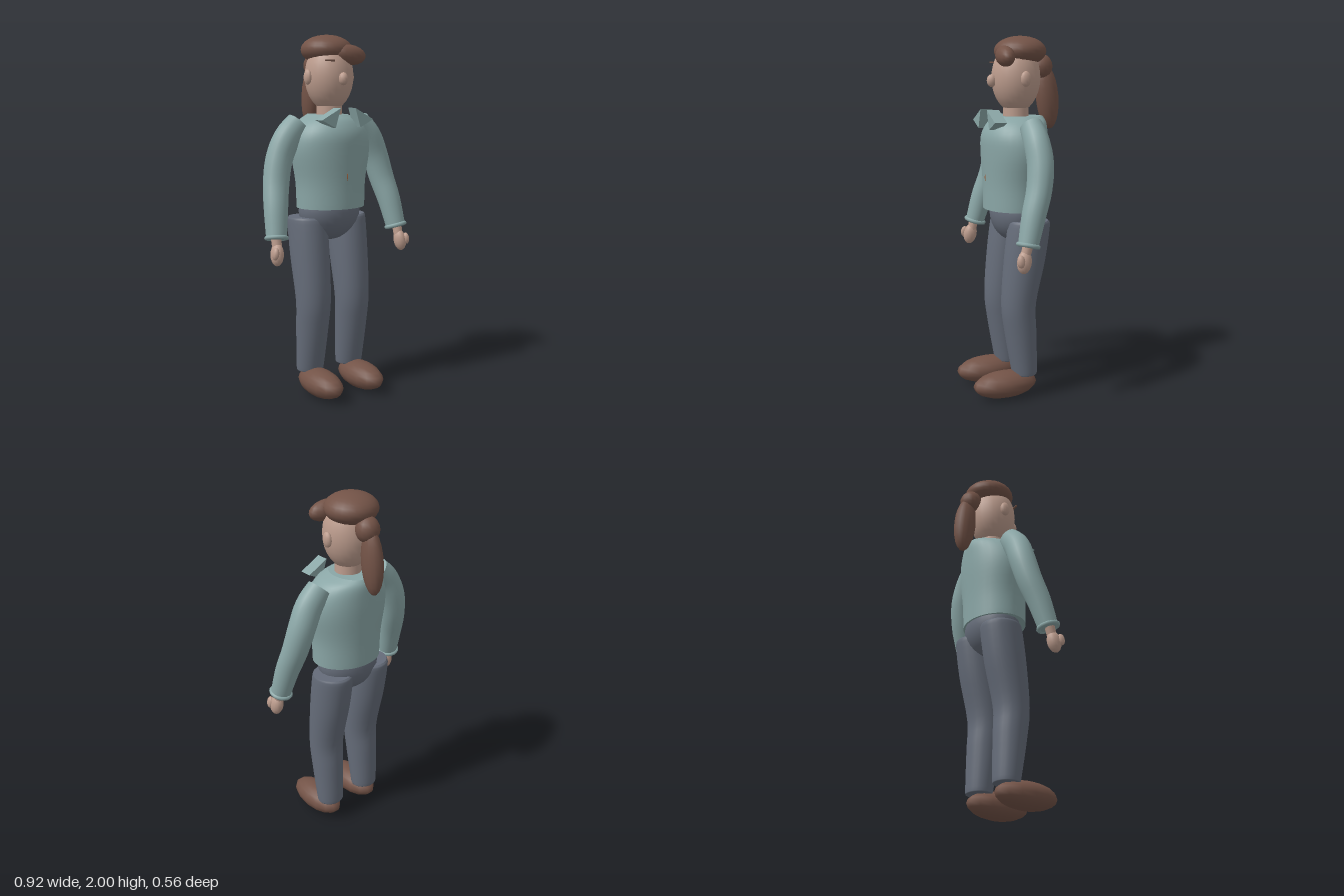
import * as THREE from 'three';

const mat = (name, color) => Object.assign(new THREE.MeshStandardMaterial({ color }), { name });

// Closed solid through rings [x, y, z, rx, rz] listed from bottom to top.
// With tilt, each ring is square to the path; otherwise rings stay level.
function loft(rings, tilt = false, steps = 4, sides = 24) {
  const path = new THREE.CatmullRomCurve3(rings.map(r => new THREE.Vector3(r[0], r[1], r[2])), false, 'catmullrom');
  const size = new THREE.CatmullRomCurve3(rings.map(r => new THREE.Vector3(r[3], r[4], 0)), false, 'catmullrom');
  const n = (rings.length - 1) * steps;
  const pos = [], index = [];
  const zAxis = new THREE.Vector3(0, 0, 1);
  const addRing = i => {
    const c = path.getPoint(i / n), r = size.getPoint(i / n);
    const d = tilt ? path.getTangent(i / n) : new THREE.Vector3(0, 1, 0);
    const u = new THREE.Vector3().crossVectors(d, zAxis).normalize();
    const w = new THREE.Vector3().crossVectors(u, d);
    for (let j = 0; j < sides; j++) {
      const a = j / sides * Math.PI * 2;
      const p = c.clone().addScaledVector(u, Math.cos(a) * r.x).addScaledVector(w, Math.sin(a) * r.y);
      pos.push(p.x, p.y, p.z);
    }
    return c;
  };
  for (let i = 0; i <= n; i++) addRing(i);
  for (let i = 0; i < n; i++) {
    for (let j = 0; j < sides; j++) {
      const k = (j + 1) % sides, a = i * sides, b = a + sides;
      index.push(a + j, b + j, a + k, b + j, b + k, a + k);
    }
  }
  // end caps with their own vertices, so the rims stay sharp
  for (const end of [0, n]) {
    const base = pos.length / 3;
    const c = addRing(end);
    pos.push(c.x, c.y, c.z);
    for (let j = 0; j < sides; j++) {
      const k = (j + 1) % sides;
      if (end) index.push(base + sides, base + k, base + j);
      else index.push(base + sides, base + j, base + k);
    }
  }
  const g = new THREE.BufferGeometry();
  g.setAttribute('position', new THREE.Float32BufferAttribute(pos, 3));
  g.setIndex(index);
  g.computeVertexNormals();
  return g;
}

export function createModel() {
  const model = new THREE.Group();
  model.name = 'standingPerson';

  const skin = mat('skin', 0xbc9c8d);
  const brown = mat('brown hair and shoes', 0x735347);
  const teal = mat('teal shirt', 0x8aa6a6);
  const grey = mat('grey trousers', 0x656c79);
  const copper = mat('copper button', 0xa0623c);

  const add = (name, geometry, material, p = [0, 0, 0], r = [0, 0, 0]) => {
    const m = new THREE.Mesh(geometry, material);
    m.name = name;
    m.position.set(...p);
    m.rotation.set(...r);
    model.add(m);
    return m;
  };
  const ball = (name, material, p, s, r, w = 24, h = 16) =>
    add(name, new THREE.SphereGeometry(1, w, h), material, p, r).scale.set(...s);

  // head and face
  ball('head', skin, [0, 1.775, -0.025], [0.135, 0.19, 0.135]);
  ball('nose', skin, [0, 1.76, 0.117], [0.025, 0.035, 0.028], undefined, 12, 8);
  add('neck', new THREE.CylinderGeometry(0.07, 0.073, 0.12, 20), skin, [0, 1.57, -0.025]);

  // hair
  ball('hairCap', brown, [0, 1.918, -0.05], [0.143, 0.082, 0.144]);
  ball('fringe', brown, [0.07, 1.89, 0.067], [0.1, 0.055, 0.05], [0, -0.15, -0.12], 16, 10);
  ball('ponytailKnot', brown, [0, 1.835, -0.175], [0.065, 0.07, 0.065], undefined, 16, 10);
  ball('ponytail', brown, [0, 1.67, -0.215], [0.052, 0.18, 0.066], [0.1, 0, 0], 14, 12);

  // torso
  add('shirt', loft([
    [0, 1.055, -0.01, 0.2, 0.165],
    [0, 1.2, -0.012, 0.206, 0.168],
    [0, 1.36, -0.013, 0.233, 0.177],
    [0, 1.46, -0.015, 0.222, 0.178],
    [0, 1.53, -0.03, 0.175, 0.162],
    [0, 1.567, -0.045, 0.105, 0.135],
  ], false, 4, 32), teal);
  ball('button', copper, [0, 1.235, 0.155], [0.004, 0.025, 0.006], undefined, 8, 6);
  ball('hips', grey, [0, 1.03, -0.025], [0.183, 0.165, 0.142]);

  for (const s of [1, -1]) {
    const side = s > 0 ? 'left' : 'right';

    ball(side + 'Ear', skin, [s * 0.138, 1.77, -0.025], [0.02, 0.042, 0.03], undefined, 12, 8);
    add(side + 'Brow', new THREE.BoxGeometry(0.058, 0.009, 0.009), brown,
      [s * 0.067, 1.857, 0.088], [0, s * 0.08, 0]);

    // collar flap: a small triangular prism
    const flap = new THREE.Shape([[0.047, 1.605], [0.08, 1.5], [0.165, 1.542]]
      .map(([x, y]) => new THREE.Vector2(s * x, y)));
    add(side + 'Collar', new THREE.ExtrudeGeometry(flap, { depth: 0.07, bevelEnabled: false }), teal, [0, 0, 0.095]);

    // sleeve, from cuff up to shoulder
    add(side + 'Sleeve', loft([
      [s * 0.397, 0.915, 0.075, 0.056, 0.054],
      [s * 0.376, 1.07, 0.034, 0.066, 0.064],
      [s * 0.35, 1.2, -0.008, 0.073, 0.068],
      [s * 0.318, 1.33, -0.03, 0.076, 0.071],
      [s * 0.268, 1.44, -0.03, 0.077, 0.069],
      [s * 0.195, 1.52, -0.03, 0.072, 0.062],
    ], true, 4, 20), teal);
    add(side + 'Cuff', new THREE.TorusGeometry(0.054, 0.012, 8, 20), teal,
      [s * 0.396, 0.922, 0.073], [Math.PI / 2 - 0.25, s * 0.13, 0]);

    // hand
    add(side + 'Wrist', new THREE.CylinderGeometry(0.028, 0.026, 0.09, 12), skin,
      [s * 0.402, 0.895, 0.085], [-0.25, 0, 0]);
    ball(side + 'Hand', skin, [s * 0.408, 0.838, 0.1], [0.035, 0.062, 0.04], [-0.15, 0, s * 0.1], 14, 10);
    ball(side + 'Thumb', skin, [s * 0.432, 0.848, 0.128], [0.017, 0.034, 0.022], [0, 0, s * 0.15], 10, 8);

    // trouser leg, from ankle up to hip
    add(side + 'Leg', loft([
      [s * 0.132, 0.125, -0.02, 0.074, 0.066],
      [s * 0.132, 0.15, -0.02, 0.08, 0.073],
      [s * 0.131, 0.38, 0.003, 0.092, 0.091],
      [s * 0.13, 0.54, 0.013, 0.099, 0.098],
      [s * 0.13, 0.78, -0.022, 0.108, 0.117],
      [s * 0.13, 0.97, -0.048, 0.11, 0.118],
      [s * 0.131, 1.003, -0.05, 0.104, 0.105],
    ]), grey);
    ball(side + 'Shoe', brown, [s * 0.136, 0.076, 0.097], [0.092, 0.076, 0.187], undefined, 14, 10);
  }
  return model;
}
